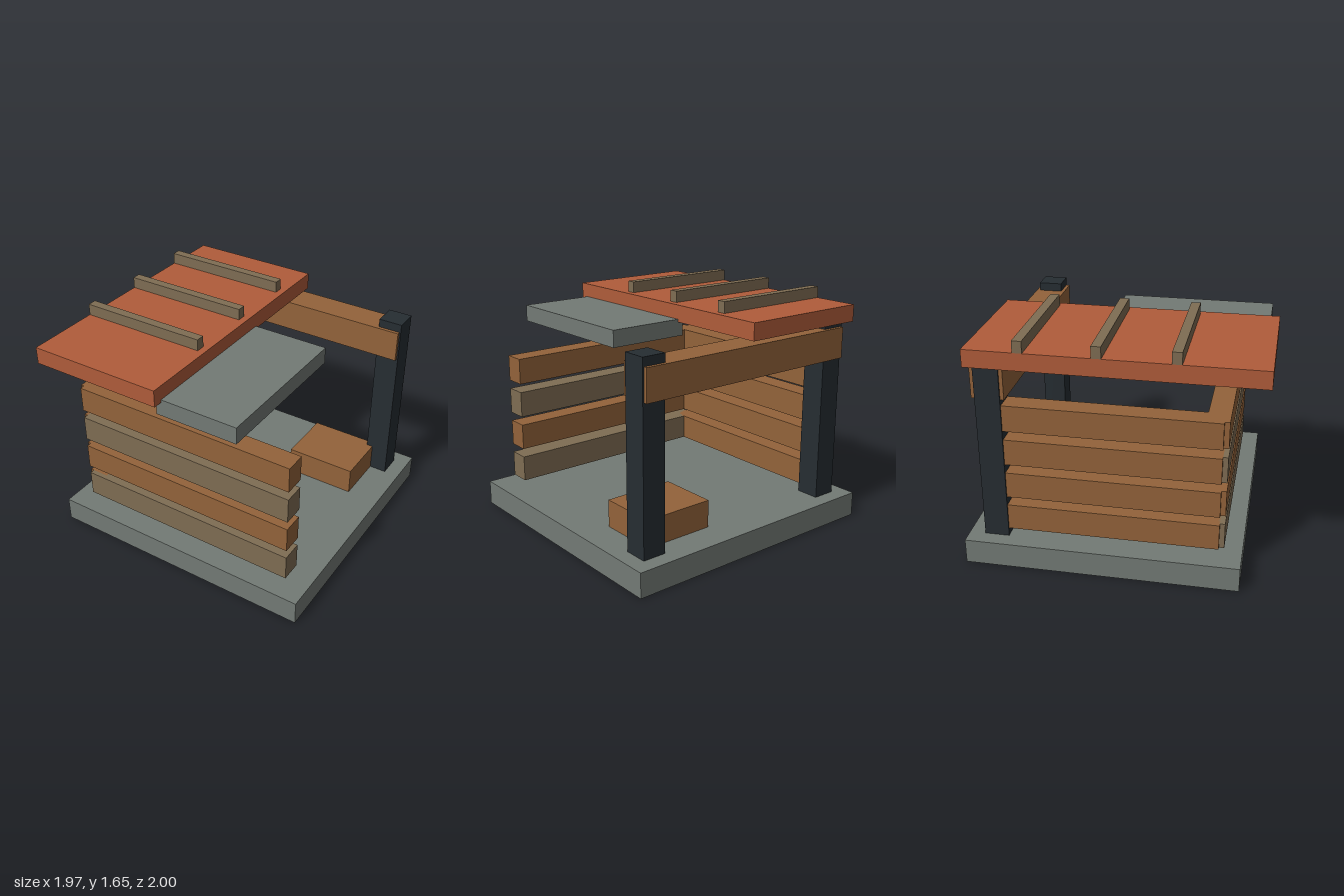
import * as THREE from 'three';

const material = (color) => new THREE.MeshStandardMaterial({ color, flatShading: true });

export function createModel() {
  const model = new THREE.Group();
  const stone = material(0x737a75);
  const wood = material(0x93633a);
  const weathered = material(0x7f6d53);
  const iron = material(0x262d32);
  const rust = material(0xb05c3a);

  // Box given by its [min, max] extent along each axis
  const box = (name, mat, [x0, x1], [y0, y1], [z0, z1]) => {
    const mesh = new THREE.Mesh(new THREE.BoxGeometry(x1 - x0, y1 - y0, z1 - z0), mat);
    mesh.position.set((x0 + x1) / 2, (y0 + y1) / 2, (z0 + z1) / 2);
    mesh.name = name;
    model.add(mesh);
  };

  // Floor slab
  box('floor', stone, [-0.985, 0.985], [0, 0.175], [-1, 0.875]);

  // Rear posts; the right one reaches through the floor
  box('leftPost', iron, [0.705, 0.875], [0.03, 1.48], [-0.89, -0.72]);
  box('rightPost', iron, [-0.875, -0.705], [-0.001, 1.45], [-0.89, -0.72]);

  // Beam across the posts
  box('rearBeam', wood, [-0.865, 0.865], [1.2, 1.42], [-0.915, -0.695]);

  // Stacked planks: front wall alternates in colour, side wall is plain
  for (let i = 0; i < 4; i++) {
    const y = 0.23 + i * 0.248;
    box('frontPlank', i % 2 ? wood : weathered, [-0.84, 0.835], [y, y + 0.185], [0.605, 0.755]);
    box('sidePlank', wood, [-0.865, -0.715], [y, y + 0.185], [-0.74, 0.72]);
  }

  // Roof sheet with battens, and a lower slab beside it
  box('roofSheet', rust, [-0.955, 0.01], [1.45, 1.57], [-0.925, 1]);
  for (const z of [-0.56, -0.065, 0.43]) {
    box('roofBatten', weathered, [-0.955, -0.04], [1.57, 1.65], [z - 0.032, z + 0.032]);
  }
  box('lowerRoofSlab', stone, [-0.03, 0.565], [1.35, 1.47], [-0.175, 0.935]);

  // Crate on the floor
  box('crate', wood, [0.235, 0.75], [0.17, 0.37], [-0.77, -0.345]);

  return model;
}
